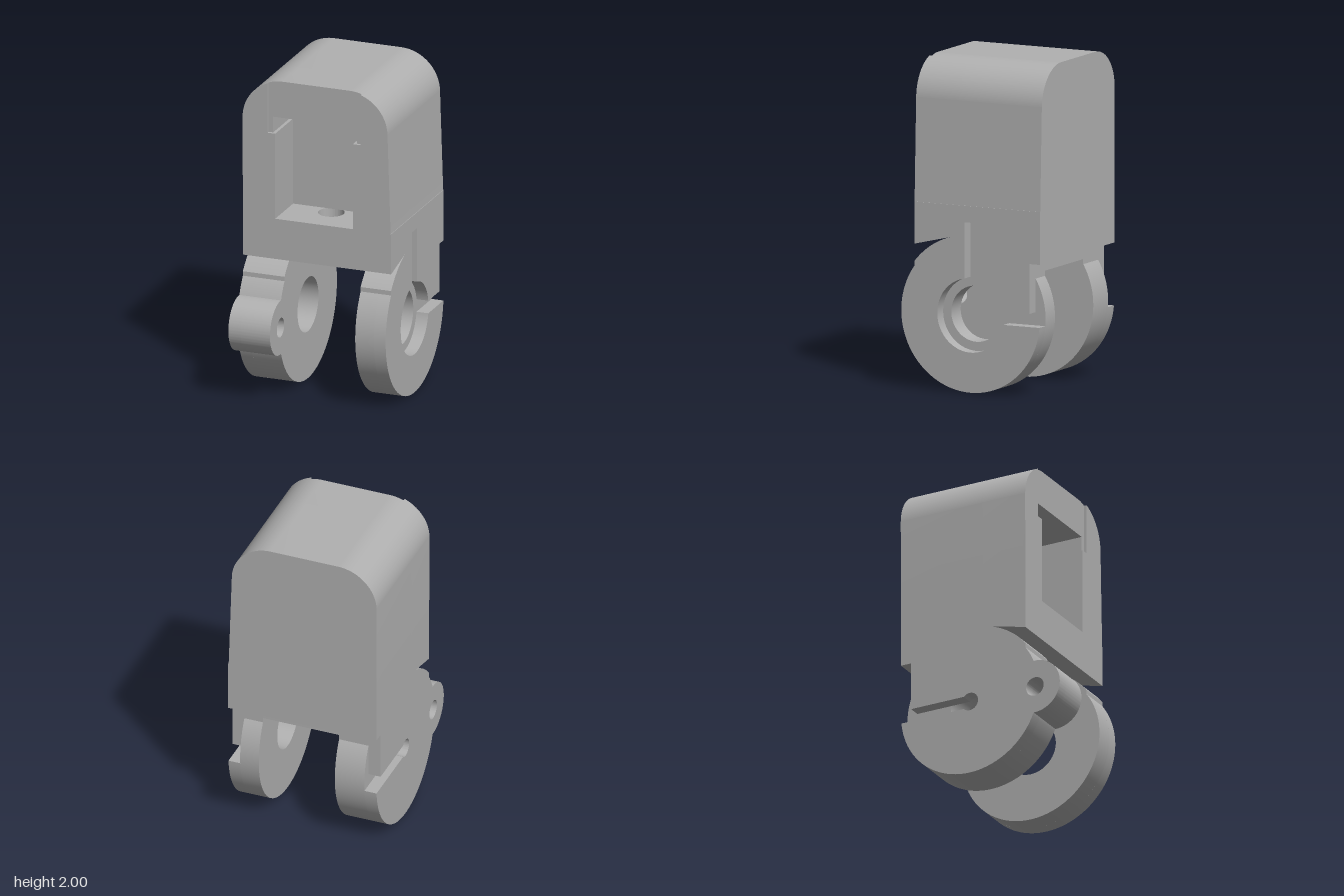
import * as THREE from 'three';
import { toCreasedNormals } from 'three/addons/utils/BufferGeometryUtils.js';

const D = Math.PI / 180;
const CU = 0.07, CV = 0.468;       // wheel axis in side profiles (u = -z, v = y)
const R = 0.468, R_CLEAR = 0.485;  // leg radius, underside clearance radius
const HALF = 0.04;                 // half width of the cable grooves
const SEAM = 1.13;                 // level where the lower and upper bodies meet

const arc = (s, u, v, r, a, b, cw = false) => s.absarc(u, v, r, a * D, b * D, cw);

function shapeOf(points) {
  return new THREE.Shape(points.map(([a, b]) => new THREE.Vector2(a, b)));
}

function circle(u, v, r) {
  return new THREE.Path().absarc(u, v, r, 0, Math.PI * 2, true);
}

// Side profile of one leg with the body portion above it
function legShape({ lug, outer, hubRadius, verticalSlot }) {
  const s = new THREE.Shape();
  s.moveTo(-0.31, SEAM);
  s.lineTo(-0.31, 0.875);
  s.lineTo(-0.06, 0.935);
  arc(s, CU, CV, R_CLEAR, 105.6, 141.6);
  const end = outer ? 355.1 : 391.3;
  if (lug) {
    arc(s, CU, CV, R, 144.3, 158.7);
    arc(s, -0.375, CV, 0.17, 87, 273);
    arc(s, CU, CV, R, 201.3, end);
    s.holes.push(circle(-0.375, CV, 0.06));
  } else {
    arc(s, CU, CV, R, 144.3, end);
  }
  if (outer) {
    // groove in from the rear, around the hub and back out
    const a = Math.asin(HALF / hubRadius) / D;
    if (verticalSlot) {
      arc(s, CU, CV, hubRadius, -a, -270 + a, true);
      s.lineTo(CU - HALF, 1.03);
      s.lineTo(CU + HALF, 1.03);
      arc(s, CU, CV, hubRadius, -270 - a, -360 + a, true);
    } else {
      arc(s, CU, CV, hubRadius, -a, -360 + a, true);
    }
    s.lineTo(0.47, CV + HALF);
  } else {
    s.holes.push(circle(CU, CV, hubRadius));
  }
  s.lineTo(0.47, 0.81);
  s.lineTo(0.54, 0.81);
  s.lineTo(0.54, SEAM);
  s.closePath();
  return s;
}

// Underside between the legs, starting at the given arc angle
function undersideShape(startPoints, startAngle) {
  const s = shapeOf(startPoints);
  arc(s, CU, CV, R_CLEAR, startAngle, 34.4, true);
  s.lineTo(0.47, 0.81);
  s.lineTo(0.54, 0.81);
  s.lineTo(0.54, 0.955);
  return s;
}

export function createModel() {
  const model = new THREE.Group();
  model.name = 'casterMount';
  const grey = new THREE.MeshStandardMaterial({ color: 0xb0b0b0 });
  grey.name = 'plain grey';

  const add = (name, geometry) => {
    const mesh = new THREE.Mesh(toCreasedNormals(geometry, 0.5), grey);
    mesh.name = name;
    model.add(mesh);
  };
  const extrude = (shape, depth) =>
    new THREE.ExtrudeGeometry(shape, { depth, bevelEnabled: false, curveSegments: 40 });
  const alongX = (name, shape, x0, x1) =>
    add(name, extrude(shape, x1 - x0).rotateY(Math.PI / 2).translate(x0, 0, 0));
  const alongZ = (name, shape, z0, z1) =>
    add(name, extrude(shape, z1 - z0).translate(0, 0, z0));

  // Legs: a bored inner layer and a grooved outer layer each
  alongX('rightLegInner', legShape({ lug: true, hubRadius: 0.17 }), -0.4, -0.21);
  alongX('rightLegOuter', legShape({ lug: true, outer: true, hubRadius: 0.057 }), -0.478, -0.4);
  alongX('leftLegInner', legShape({ hubRadius: 0.17 }), 0.28, 0.4);
  alongX('leftLegOuter',
    legShape({ outer: true, hubRadius: 0.225, verticalSlot: true }), 0.4, 0.476);

  // Pocket floor with its round hole
  const floor = shapeOf([[-0.21, -0.31], [0.28, -0.31], [0.28, 0.54], [-0.21, 0.54]]);
  floor.holes.push(circle(0, -0.08, 0.08));
  add('pocketFloor', extrude(floor, SEAM - 0.955).rotateX(-Math.PI / 2).translate(0, 0.955, 0));

  // Curved underside, left open below the floor hole
  const full = undersideShape([[-0.31, 0.955], [-0.31, 0.875], [-0.06, 0.935]], 105.6);
  alongX('undersideRight', full, -0.21, -0.08);
  alongX('undersideLeft', full, 0.08, 0.28);
  alongX('undersideRear', undersideShape([[0, 0.955]], 98.3), -0.08, 0.08);
  alongX('undersideFront',
    shapeOf([[-0.31, 0.955], [-0.31, 0.875], [-0.16, 0.911], [-0.16, 0.955]]), -0.08, 0.08);

  // Upper body: rounded outline, slightly tapered on one side
  const outline = (notch) => {
    const s = shapeOf([[-0.478, SEAM], ...notch, [0.473, SEAM]]);
    arc(s, 0.203, 1.75, 0.25, 0, 90);
    arc(s, -0.23, 1.75, 0.25, 90, 180);
    return s;
  };
  const pocket = [[-0.27, SEAM], [-0.27, 1.67], [-0.29, 1.67], [-0.29, 1.77],
    [0.25, 1.77], [0.25, 1.67], [0.23, 1.67], [0.23, SEAM]];
  alongZ('bodyBack', outline([]), -0.54, 0.02);
  alongZ('bodyPocket', outline(pocket), 0.02, 0.293);

  // Front rims on both sides of the shallow recess
  const leftRim = shapeOf([[0.28, 1.67], [0.23, 1.67], [0.23, SEAM], [0.473, SEAM]]);
  arc(leftRim, 0.203, 1.75, 0.25, 0, 72);
  alongZ('leftRim', leftRim, 0.293, 0.31);
  const rightRim = shapeOf([[-0.478, SEAM], [-0.27, SEAM], [-0.27, 1.67], [-0.32, 1.67]]);
  arc(rightRim, -0.23, 1.75, 0.25, 111.1, 180);
  alongZ('rightRim', rightRim, 0.293, 0.31);

  return model;
}
